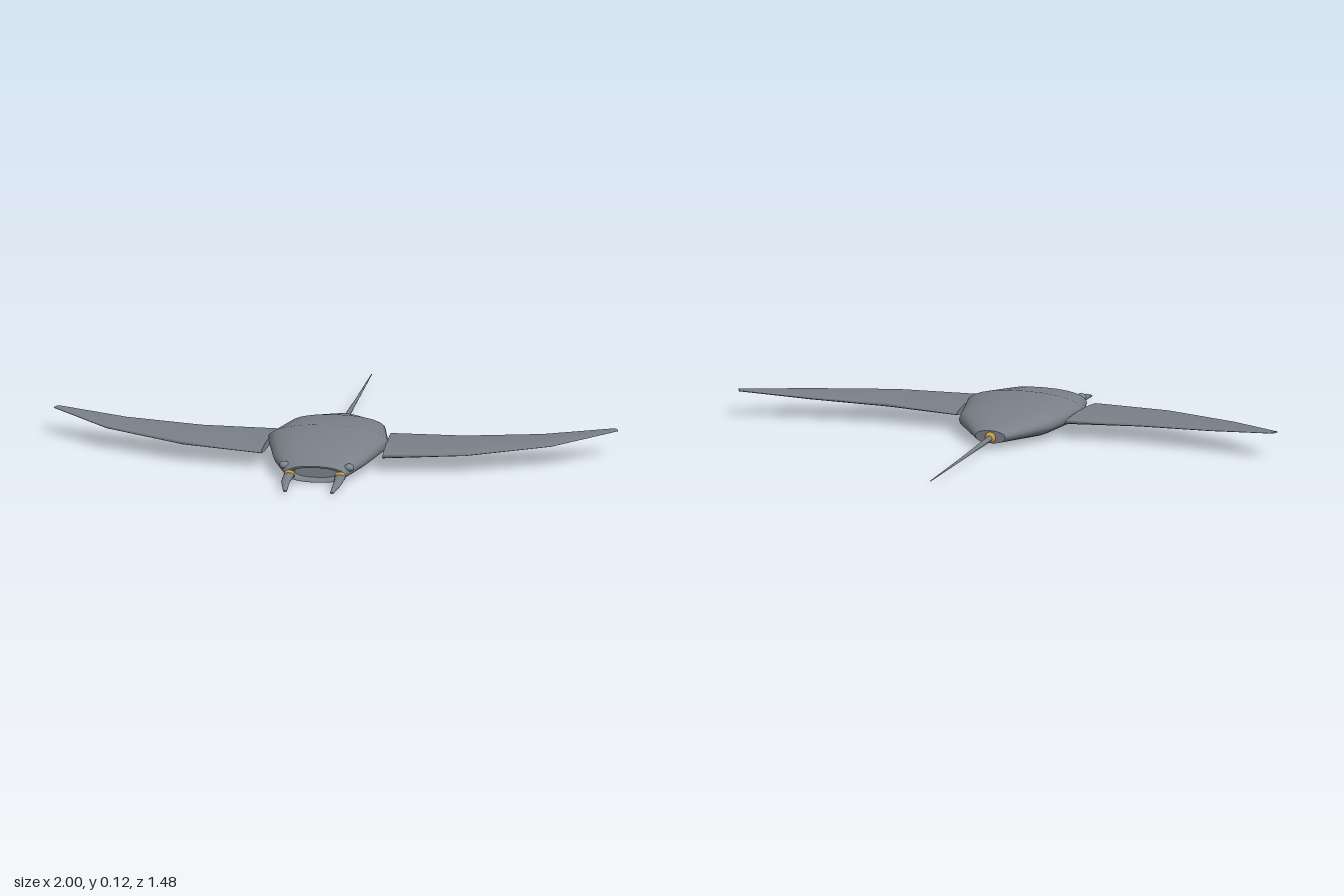
import * as THREE from 'three';

const mat = (name, color) => {
  const m = new THREE.MeshStandardMaterial({ color });
  m.name = name;
  return m;
};

// Skin a list of equal-length point rings; optional flat caps at either end.
function loft(rings, capStart = true, capEnd = true) {
  const n = rings[0].length, pos = [], idx = [];
  rings.forEach(r => r.forEach(p => pos.push(p.x, p.y, p.z)));
  for (let k = 0; k < rings.length - 1; k++) {
    for (let i = 0; i < n; i++) {
      const j = (i + 1) % n, a = k * n, b = a + n;
      idx.push(a + i, a + j, b + j, a + i, b + j, b + i);
    }
  }
  const cap = (ends, flip) => {
    const base = pos.length / 3;
    const c = ends.reduce((s, p) => s.add(p), new THREE.Vector3()).divideScalar(n);
    [c, ...ends].forEach(p => pos.push(p.x, p.y, p.z));
    for (let i = 0; i < n; i++) {
      const u = base + 1 + i, v = base + 1 + (i + 1) % n;
      idx.push(base, flip ? v : u, flip ? u : v);
    }
  };
  if (capStart) cap(rings[0], true);
  if (capEnd) cap(rings[rings.length - 1], false);
  const g = new THREE.BufferGeometry();
  g.setAttribute('position', new THREE.Float32BufferAttribute(pos, 3));
  g.setIndex(idx);
  g.computeVertexNormals();
  return g;
}

// Rounded cross-section facing +z; power below 1 makes it boxier.
function ring(x, y, z, rx, ry, n = 12, power = 1) {
  const f = v => Math.sign(v) * Math.pow(Math.abs(v), power);
  return Array.from({ length: n }, (_, i) => {
    const t = i / n * Math.PI * 2;
    return new THREE.Vector3(x + rx * f(Math.cos(t)), y + ry * f(Math.sin(t)), z);
  });
}

// Mirror rings across x = 0, keeping faces outward.
const mirrorRings = rings => rings.map(r =>
  r.map(p => new THREE.Vector3(-p.x, p.y, p.z)).reverse());

export function createModel() {
  const model = new THREE.Group();
  const skin = mat('slate grey skin', 0x7a8088);
  const eyeGrey = mat('blue grey eye', 0x7c8792);
  const gold = mat('gold joint', 0xc9a24a);

  const add = (name, geo, material, x = 0, y = 0, z = 0) => {
    const m = new THREE.Mesh(geo, material);
    m.name = name;
    m.position.set(x, y, z);
    model.add(m);
    return m;
  };

  // Body: z, half width, bottom, top
  const body = [
    [-0.10, 0.055, 0.020, 0.065],
    [0.06, 0.172, 0.009, 0.105],
    [0.27, 0.215, 0.008, 0.126],
    [0.46, 0.165, 0.010, 0.097],
    [0.58, 0.105, 0.003, 0.062],
  ].map(([z, w, lo, hi]) => ring(0, (lo + hi) / 2, z, w, (hi - lo) / 2, 24, 0.88));
  add('body', loft(body, true, false), skin);

  // Mouth: a lip and a shallow hollow
  const mouth = [[0.58, 0.105, 0.0295], [0.58, 0.088, 0.024], [0.545, 0.078, 0.02]]
    .map(([z, w, h]) => ring(0, 0.0325, z, w, h, 24, 0.88));
  add('mouth', loft(mouth, false), skin);

  // Wings: leading x, z; trailing x, z; height; half thickness
  const wing = [
    [0.215, 0.430, 0.200, 0.115, 0.060, 0.015],
    [0.505, 0.382, 0.462, 0.132, 0.067, 0.012],
    [0.790, 0.255, 0.735, 0.105, 0.077, 0.008],
    [1.000, 0.090, 0.985, 0.060, 0.096, 0.003],
  ].map(([lx, lz, tx, tz, y, h]) => Array.from({ length: 12 }, (_, i) => {
    const t = i / 12 * Math.PI * 2, c = Math.cos(t);
    return new THREE.Vector3(
      (lx + tx) / 2 + c * (tx - lx) / 2,
      y + h * Math.sin(t),
      (lz + tz) / 2 + c * (tz - lz) / 2);
  }));
  add('leftWing', loft(wing), skin);
  add('rightWing', loft(mirrorRings(wing)), skin);

  // Head horns: x, y, z, half width, half height
  const horn = [
    [0.090, 0.030, 0.575, 0.018, 0.011],
    [0.091, 0.029, 0.610, 0.018, 0.010],
    [0.092, 0.026, 0.665, 0.015, 0.009],
    [0.083, 0.012, 0.735, 0.007, 0.003],
  ].map(s => ring(...s));
  add('leftHorn', loft(horn), skin);
  add('rightHorn', loft(mirrorRings(horn)), skin);

  // Eyes and horn joints
  for (const [side, s] of [['left', 1], ['right', -1]]) {
    add(side + 'Eye', new THREE.SphereGeometry(0.018, 14, 10), eyeGrey, s * 0.115, 0.052, 0.542)
      .scale.set(1, 0.75, 1);
    add(side + 'HornJoint', new THREE.SphereGeometry(0.02, 14, 10), gold, s * 0.09, 0.031, 0.587)
      .scale.set(1, 0.85, 0.5);
  }

  // Whip tail and its joint
  const tail = [
    [0, 0.026, -0.74, 0.0015, 0.0015],
    [0, 0.031, -0.42, 0.005, 0.005],
    [0, 0.038, -0.10, 0.010, 0.010],
  ].map(s => ring(...s));
  add('tail', loft(tail), skin);
  add('tailJoint', new THREE.SphereGeometry(0.02, 14, 10), gold, 0, 0.04, -0.1)
    .scale.set(1, 1, 0.55);

  return model;
}
